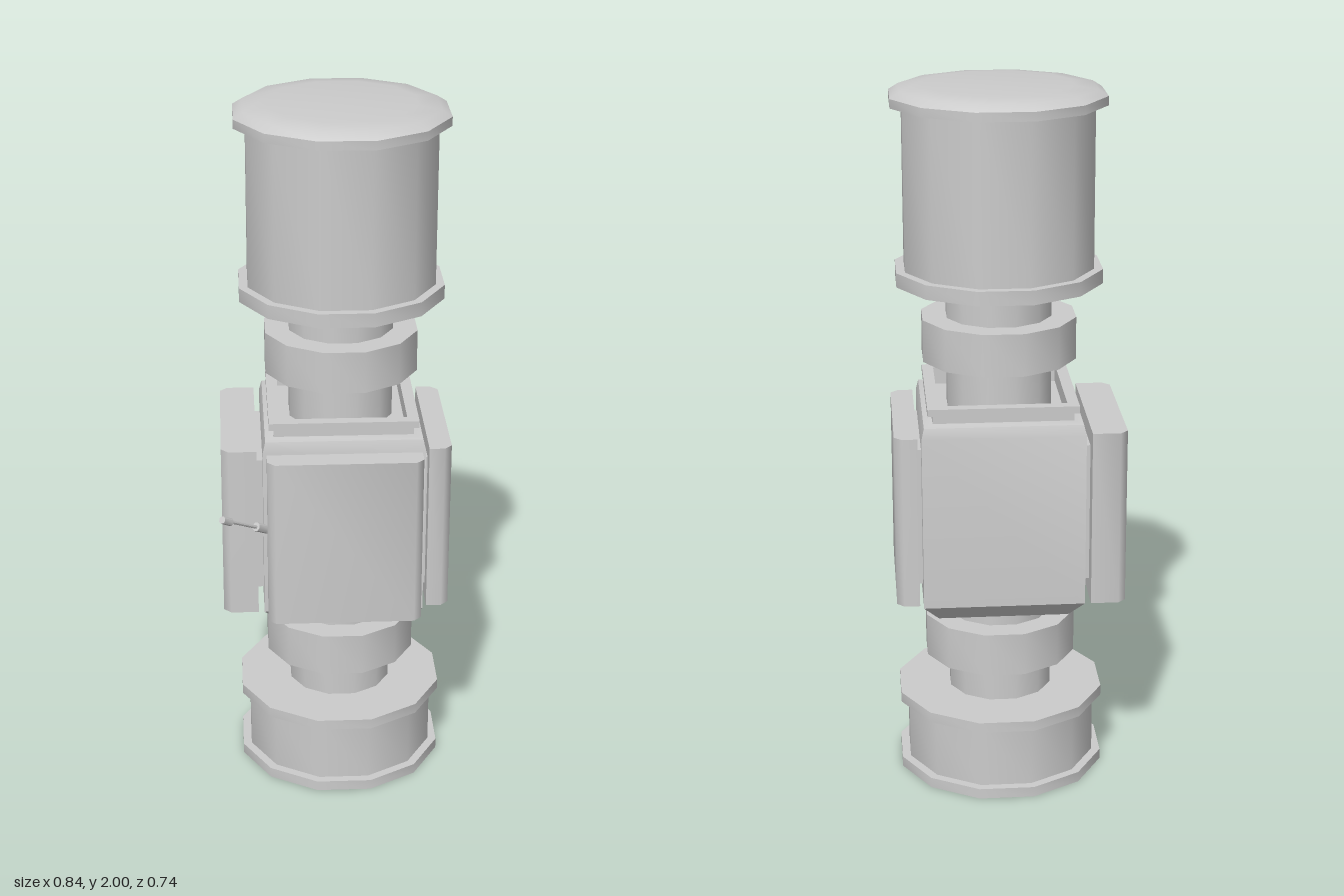
import * as THREE from 'three';
import { toCreasedNormals } from 'three/addons/utils/BufferGeometryUtils.js';

const material = new THREE.MeshStandardMaterial({ color: 0xcccccc });

function part(name, geometry, crease = 0.7) {
  const mesh = new THREE.Mesh(toCreasedNormals(geometry, crease), material);
  mesh.name = name;
  return mesh;
}

// Solid of revolution from [radius, height] pairs, listed bottom to top
function turned(name, profile, sides = 12) {
  const points = profile.map(([r, y]) => new THREE.Vector2(r, y));
  return part(name, new THREE.LatheGeometry(points, sides));
}

const ring = (name, r, y0, y1) => turned(name, [[0, y0], [r, y0], [r, y1], [0, y1]]);

// Upright side panel with chamfered outer vertical edges
function panel(name, angle, halfWidth, inner, outer, y0, y1) {
  const c = 0.021;
  const shape = new THREE.Shape([
    [-halfWidth, -inner], [-halfWidth, c - outer], [c - halfWidth, -outer],
    [halfWidth - c, -outer], [halfWidth, c - outer], [halfWidth, -inner],
  ].map(([x, y]) => new THREE.Vector2(x, y)));
  const geometry = new THREE.ExtrudeGeometry(shape, { depth: y1 - y0, bevelEnabled: false });
  geometry.rotateX(-Math.PI / 2).translate(0, y0, 0);

  const group = new THREE.Group();
  group.name = name;
  group.add(part(name + 'Cover', geometry, 0.9));
  // Mount filling the gap to the body
  const mount = part(name + 'Mount', new THREE.BoxGeometry(0.34, 0.4, 0.05));
  mount.position.set(0, (y0 + y1) / 2, inner - 0.02);
  group.add(mount);
  group.rotation.y = angle;
  return group;
}

// Cylinder between two points
function rod(name, from, to, radius, sides = 8) {
  const a = new THREE.Vector3(...from), b = new THREE.Vector3(...to);
  const mesh = part(name, new THREE.CylinderGeometry(radius, radius, a.distanceTo(b), sides), 0.9);
  mesh.position.lerpVectors(a, b, 0.5);
  mesh.quaternion.setFromUnitVectors(new THREE.Vector3(0, 1, 0), b.sub(a).normalize());
  return mesh;
}

export function createModel() {
  const model = new THREE.Group();
  model.name = 'model';
  const column = new THREE.Group();
  column.name = 'column';
  column.position.set(0.067, 0, 0.012);
  model.add(column);

  // Base drum with two flanges
  column.add(turned('base', [
    [0, 0], [0.302, 0], [0.302, 0.03], [0.277, 0.03], [0.277, 0.21],
    [0.302, 0.21], [0.302, 0.24], [0, 0.24],
  ]));

  // Necks and collars below and above the body
  column.add(ring('lowerNeck', 0.15, 0.23, 0.54));
  column.add(ring('lowerCollar', 0.22, 0.35, 0.475));
  column.add(ring('upperNeck', 0.15, 1.06, 1.47));
  column.add(ring('upperCollar', 0.22, 1.24, 1.36));

  // Square body: tapered underside, stepped rim and recessed top
  column.add(turned('body', [
    [0, 0.52], [0.26, 0.52], [0.32, 0.57], [0.32, 1.07], [0.31, 1.10],
    [0.275, 1.105], [0.275, 1.13], [0.295, 1.13], [0.295, 1.15],
    [0.25, 1.15], [0.25, 1.10], [0, 1.10],
  ], 4));

  // Panels on three of the four faces
  const q = Math.PI / 4;
  column.add(panel('frontLeftPanel', q, 0.219, 0.237, 0.301, 0.575, 1.07));
  column.add(panel('frontRightPanel', -q, 0.216, 0.24, 0.307, 0.575, 1.07));
  column.add(panel('backRightPanel', -3 * q, 0.226, 0.243, 0.342, 0.57, 1.075));

  // Head drum with lower flange and domed lid
  column.add(turned('head', [
    [0, 1.46], [0.293, 1.46], [0.293, 1.5], [0.268, 1.5], [0.268, 1.95],
    [0.302, 1.95], [0.302, 1.975], [0.275, 1.992], [0.21, 2], [0, 2],
  ]));

  // Lever on the right corner
  const lever = new THREE.Group();
  lever.name = 'lever';
  lever.add(rod('leverSocket', [-0.22, 0.82, 0.014], [-0.285, 0.856, 0.014], 0.013));
  lever.add(rod('leverShaft', [-0.27, 0.847, 0.014], [-0.395, 0.915, 0.014], 0.005));
  lever.add(rod('leverKnob', [-0.385, 0.908, 0.014], [-0.418, 0.927, 0.014], 0.011));
  model.add(lever);

  return model;
}
